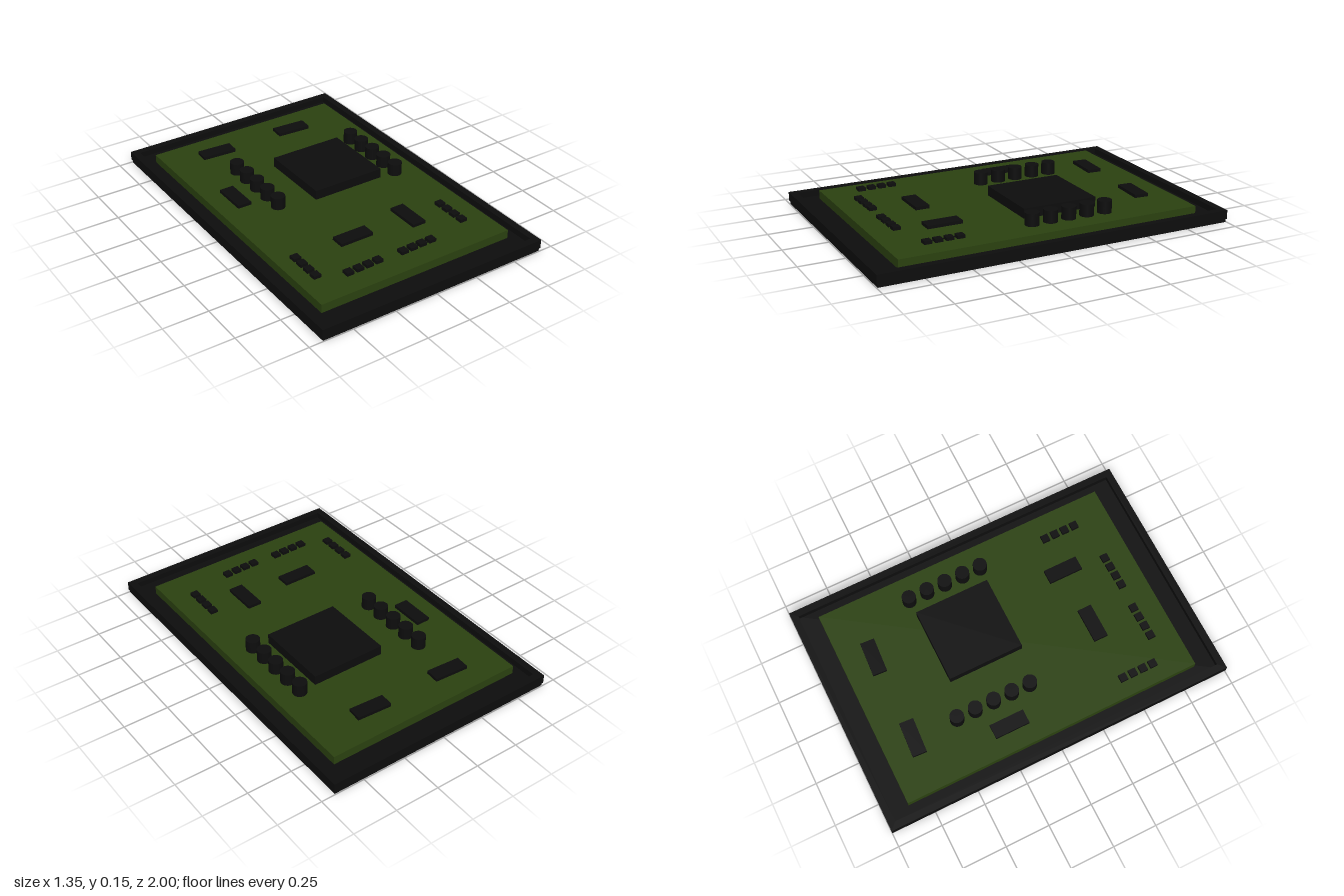
import * as THREE from 'three';

export function createModel() {
  const model = new THREE.Group();
  const black = new THREE.MeshStandardMaterial({ color: 0x0d0d0d });
  const green = new THREE.MeshStandardMaterial({ color: 0x2b4210 });

  const add = (name, geometry, material, x, y, z, turn = 0) => {
    const mesh = new THREE.Mesh(geometry, material);
    mesh.name = name;
    mesh.position.set(x, y, z);
    mesh.rotation.y = turn;
    model.add(mesh);
    return mesh;
  };
  // Box standing between two heights
  const block = (name, w, d, y0, y1, x, z, material = black, turn = 0) =>
    add(name, new THREE.BoxGeometry(w, y1 - y0, d), material, x, (y0 + y1) / 2, z, turn);

  // Tray: base plate with a raised rim around it
  block('basePlate', 1.34, 1.99, 0, 0.035, 0, 0);
  const outline = (w, d, Type) => new Type([
    new THREE.Vector2(-w, -d), new THREE.Vector2(w, -d),
    new THREE.Vector2(w, d), new THREE.Vector2(-w, d),
  ]);
  const rimShape = outline(0.675, 1, THREE.Shape);
  rimShape.holes.push(outline(0.635, 0.96, THREE.Path));
  const rim = new THREE.ExtrudeGeometry(rimShape, { depth: 0.05, bevelEnabled: false });
  rim.rotateX(-Math.PI / 2);
  add('trayRim', rim, black, 0, 0.018, 0);

  // Circuit board
  const top = 0.083;
  block('circuitBoard', 1.16, 1.715, 0.03, top, -0.003, -0.005, green);

  // Main processor
  block('processor', 0.427, 0.43, top - 0.005, 0.138, 0.128, -0.163);

  // Two rows of capacitors
  const capacitor = new THREE.CylinderGeometry(0.039, 0.039, 0.074, 32);
  for (const [x, z] of [[-0.291, -0.437], [0.437, -0.377]]) {
    for (let i = 0; i < 5; i++) add('capacitor', capacitor, black, x, 0.115, z + i * 0.108);
  }

  // Small chips: x, z, turn
  const chips = [
    [-0.278, -0.69, -0.06], [0.225, -0.69, -0.06],
    [-0.44, -0.2, Math.PI / 2], [-0.13, 0.463, 0], [0.222, 0.463, Math.PI / 2],
  ];
  for (const [x, z, turn] of chips) block('smallChip', 0.197, 0.08, top - 0.005, 0.101, x, z, black, turn);

  // Rows of four resistors: start x, start z, step x, step z
  const rows = [
    [-0.48, 0.463, 0, 0.06], [0.437, 0.463, 0, 0.06],
    [-0.33, 0.712, 0.06, -0.002], [0.003, 0.712, 0.06, -0.002],
  ];
  for (const [x, z, dx, dz] of rows) {
    for (let i = 0; i < 4; i++) {
      block('resistor', 0.042, 0.042, top - 0.005, 0.101, x + i * dx, z + i * dz);
    }
  }
  return model;
}
